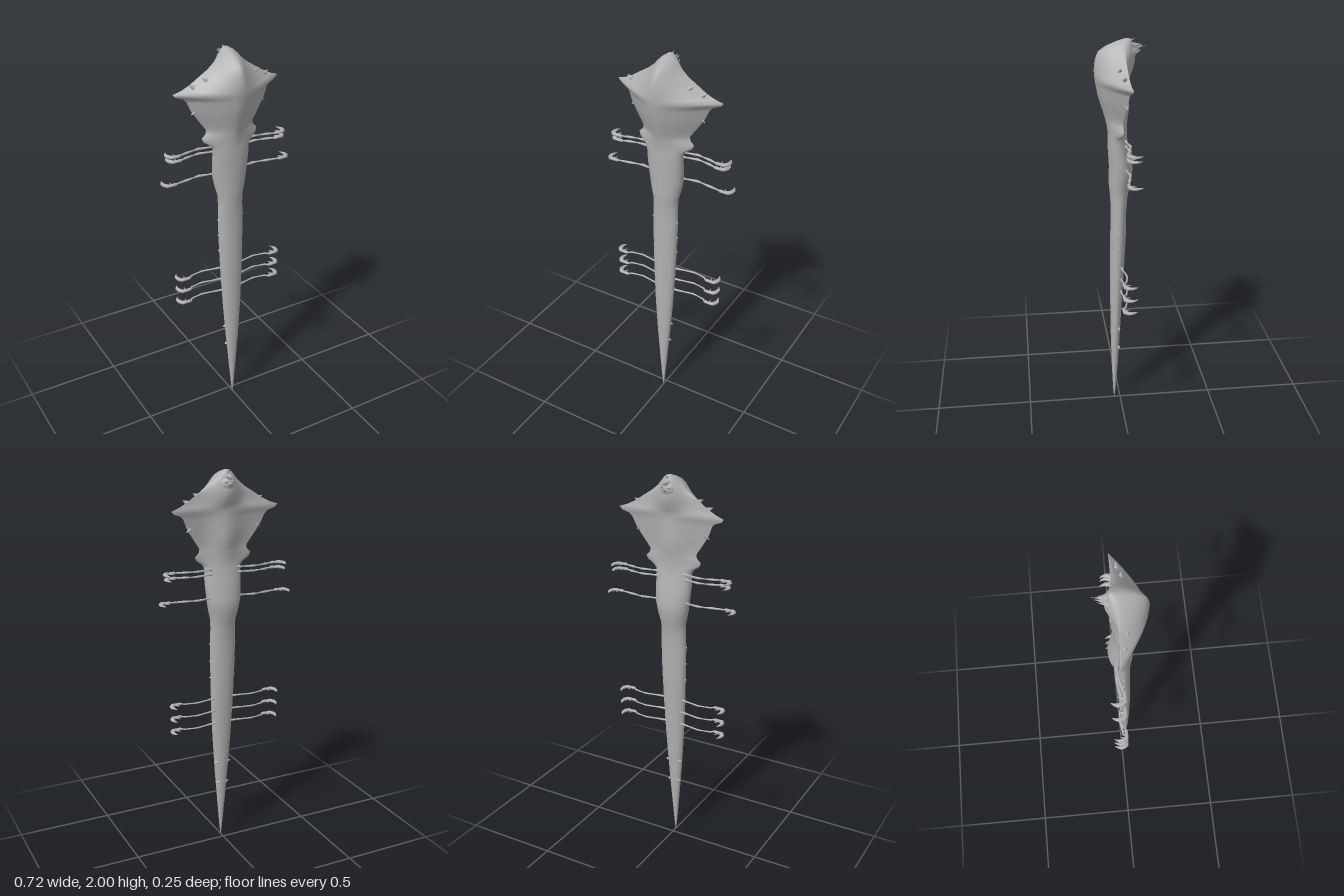
import * as THREE from 'three';

const hide = new THREE.MeshStandardMaterial({ color: 0xb0b0b0 });
hide.name = 'grey hide';

// Skin a list of closed rings with smooth normals
function loft(rings) {
  const n = rings[0].length, pos = rings.flat(2), index = [];
  for (let i = 0; i < rings.length - 1; i++) {
    for (let j = 0; j < n; j++) {
      const a = i * n + j, b = i * n + (j + 1) % n;
      index.push(a, b, b + n, a, b + n, a + n);
    }
  }
  const g = new THREE.BufferGeometry();
  g.setAttribute('position', new THREE.Float32BufferAttribute(pos, 3));
  g.setIndex(index);
  g.computeVertexNormals();
  return g;
}

function add(parent, name, geometry) {
  const m = new THREE.Mesh(geometry, hide);
  m.name = name;
  parent.add(m);
  return m;
}

// Tapered limb in a level plane; points are [x, z, half height, half depth]
function limb(points, y, side, sides = 8) {
  const p = points.map(([x, z, ry, rz]) => [x * side, z, ry, rz]);
  return loft(p.map(([x, z, ry, rz], i) => {
    const a = p[Math.max(i - 1, 0)], b = p[Math.min(i + 1, p.length - 1)];
    const l = Math.hypot(b[0] - a[0], b[1] - a[1]);
    const dx = (b[0] - a[0]) / l, dz = (b[1] - a[1]) / l;
    return Array.from({ length: sides }, (_, j) => {
      const t = j / sides * Math.PI * 2, s = Math.sin(t) * rz;
      return [x - dz * s, y + Math.cos(t) * ry, z + dx * s];
    });
  }));
}

// Cone from a base point to a tip
function spike(parent, name, from, to, r) {
  const a = new THREE.Vector3(...from), b = new THREE.Vector3(...to), d = b.clone().sub(a);
  const m = add(parent, name, new THREE.ConeGeometry(r, d.length(), 8));
  m.position.copy(a).add(b).multiplyScalar(0.5);
  m.quaternion.setFromUnitVectors(new THREE.Vector3(0, 1, 0), d.normalize());
}

// Body rows: y, half width, front z, back z
const tail = [
  [0, 0.001, 0.033, 0.031], [0.05, 0.007, 0.038, 0.025], [0.2, 0.02, 0.045, 0.013],
  [0.4, 0.037, 0.05, 0.002], [0.6, 0.051, 0.052, -0.009], [0.8, 0.061, 0.052, -0.02],
  [1.0, 0.067, 0.05, -0.03], [1.12, 0.069, 0.047, -0.031], [1.2, 0.066, 0.05, -0.037],
  [1.25, 0.067, 0.055, -0.046], [1.3, 0.08, 0.058, -0.058], [1.36, 0.091, 0.055, -0.062],
  [1.45, 0.097, 0.06, -0.045], [1.52, 0.098, 0.06, -0.033],
];
// Hood rows: y, half width, front z, back z, rim z, hood amount
const hood = [
  [1.54, 0.115, 0.061, -0.033, 0.01, 0.3], [1.56, 0.145, 0.064, -0.033, 0.004, 0.7],
  [1.58, 0.152, 0.067, -0.034, 0, 0.8], [1.6, 0.131, 0.071, -0.035, 0, 0.8],
  [1.62, 0.129, 0.076, -0.038, 0, 0.9], [1.65, 0.15, 0.085, -0.043, -0.003, 1],
  [1.69, 0.178, 0.098, -0.045, -0.008, 1], [1.73, 0.203, 0.109, -0.043, -0.013, 1],
  [1.77, 0.219, 0.117, -0.042, -0.018, 1], [1.787, 0.235, 0.12, -0.042, -0.022, 1],
  [1.8, 0.272, 0.122, -0.043, -0.027, 1], [1.816, 0.285, 0.124, -0.045, -0.029, 1],
  [1.828, 0.247, 0.125, -0.05, -0.024, 1], [1.85, 0.202, 0.126, -0.06, -0.02, 1],
  [1.88, 0.157, 0.124, -0.07, -0.018, 1], [1.91, 0.11, 0.118, -0.072, -0.016, 0.9],
  [1.94, 0.073, 0.105, -0.065, -0.016, 0.7], [1.965, 0.052, 0.07, -0.06, -0.016, 0.5],
  [1.985, 0.032, 0.02, -0.055, -0.022, 0.2], [1.997, 0.012, -0.02, -0.048, -0.035, 0],
  [2.0, 0.001, -0.034, -0.036, -0.035, 0],
];

function bodyRing([y, w, zf, zb, rim = (zf + zb) / 2, h = 0]) {
  const n = 48;
  return Array.from({ length: n }, (_, j) => {
    const t = j / n * Math.PI * 2, x = Math.sin(t) * w, c = Math.cos(t);
    const u = Math.abs(Math.sin(t)), front = c >= 0;
    // Keeled front, and a rounded spine between hollow wings behind
    const flare = front ? 1 - u ** 1.4 : Math.exp(-((x / 0.075) ** 2)) * (1 - u ** 4);
    const k = Math.abs(c) * (1 - h) + flare * h;
    return [x, y, rim + ((front ? zf : zb) - rim) * k];
  });
}

// Legs: height, reach, forward offset, whether it is a hind leg
const legs = [
  [1.515, 0.335, 0, false], [1.49, 0.33, 0, false], [1.37, 0.36, 0, false],
  [0.825, 0.308, 0.014, true], [0.755, 0.306, 0.014, true], [0.685, 0.306, 0.016, true],
];

export function createModel() {
  const model = new THREE.Group();
  model.name = 'hooded serpent';
  add(model, 'body', loft([...tail, ...hood].map(bodyRing)));

  // Head facing backwards under the crest
  const head = new THREE.Group();
  head.name = 'head';
  model.add(head);
  const skull = add(head, 'skull', new THREE.SphereGeometry(1, 20, 14));
  skull.scale.set(0.043, 0.042, 0.042);
  skull.position.set(0, 1.93, -0.034);
  spike(head, 'upperJaw', [0, 1.965, -0.045], [0, 1.967, -0.108], 0.018);
  spike(head, 'lowerJaw', [0, 1.92, -0.05], [0, 1.94, -0.1], 0.017);
  spike(head, 'crestHorn', [0, 1.975, -0.03], [0, 1.998, -0.07], 0.014);

  for (const s of [1, -1]) {
    const name = s > 0 ? 'left' : 'right';
    spike(head, name + 'Feeler', [s * 0.006, 1.955, -0.07], [s * 0.005, 1.962, -0.125], 0.004);
    spike(head, name + 'Fang', [s * 0.022, 1.935, -0.05], [s * 0.014, 1.95, -0.1], 0.009);

    // Spurs on the hood rim and knobs along the flanks
    for (const [x, y, z, dx, dy] of [
      [0.18, 1.72, -0.01, 0.022, -0.015], [0.13, 1.872, 0.015, 0.025, 0.015], [0.19, 1.845, 0, 0.025, 0.015],
    ]) spike(model, name + 'HoodSpur', [s * x, y, z], [s * (x + dx), y + dy, z], 0.013);
    for (const [y, x] of [[1.12, 0.069], [1.03, 0.068], [0.94, 0.066], [0.45, 0.041], [0.33, 0.031]]) {
      spike(model, name + 'FlankKnob', [s * (x - 0.01), y, 0.012], [s * (x + 0.009), y, 0.01], 0.011);
    }

    // Jointed legs ending in hooked claws
    for (const [y, r, z, hind] of legs) {
      const leg = new THREE.Group();
      leg.name = name + (hind ? 'HindLeg' : 'ForeLeg');
      model.add(leg);
      const t = hind ? 0.7 : 1;
      add(leg, 'arm', limb([
        [0.03, z - 0.012, 0.006, 0.006], [0.08, z - 0.018, 0.007 * t, 0.008 * t],
        [0.1, z - 0.022, 0.004, 0.004], [0.155, z - 0.032, 0.006 * t, 0.008 * t],
        [0.185, z - 0.028, 0.003, 0.004], [0.225, z - 0.02, 0.006 * t, 0.008 * t],
        [r - 0.075, z - 0.01, 0.004, 0.004], [r - 0.055, z - 0.006, 0.008, 0.009],
      ], y, s));
      add(leg, 'claw', limb([
        [r - 0.078, z - 0.008, 0.001, 0.001], [r - 0.066, z - 0.007, 0.008, 0.009],
        [r - 0.045, z - 0.006, 0.006, 0.009], [r - 0.024, z - 0.009, 0.009, 0.012],
        [r - 0.013, z - 0.025, 0.008, 0.012], [r - 0.011, z - 0.043, 0.006, 0.01],
        [r - 0.016, z - 0.06, 0.004, 0.005], [r - 0.024, z - 0.073, 0.0005, 0.0005],
      ], y, s));
      spike(leg, 'thumb', [s * (r - 0.04), y, z - 0.008], [s * (r - 0.052), y, z - 0.042], 0.007);
    }
  }
  return model;
}
